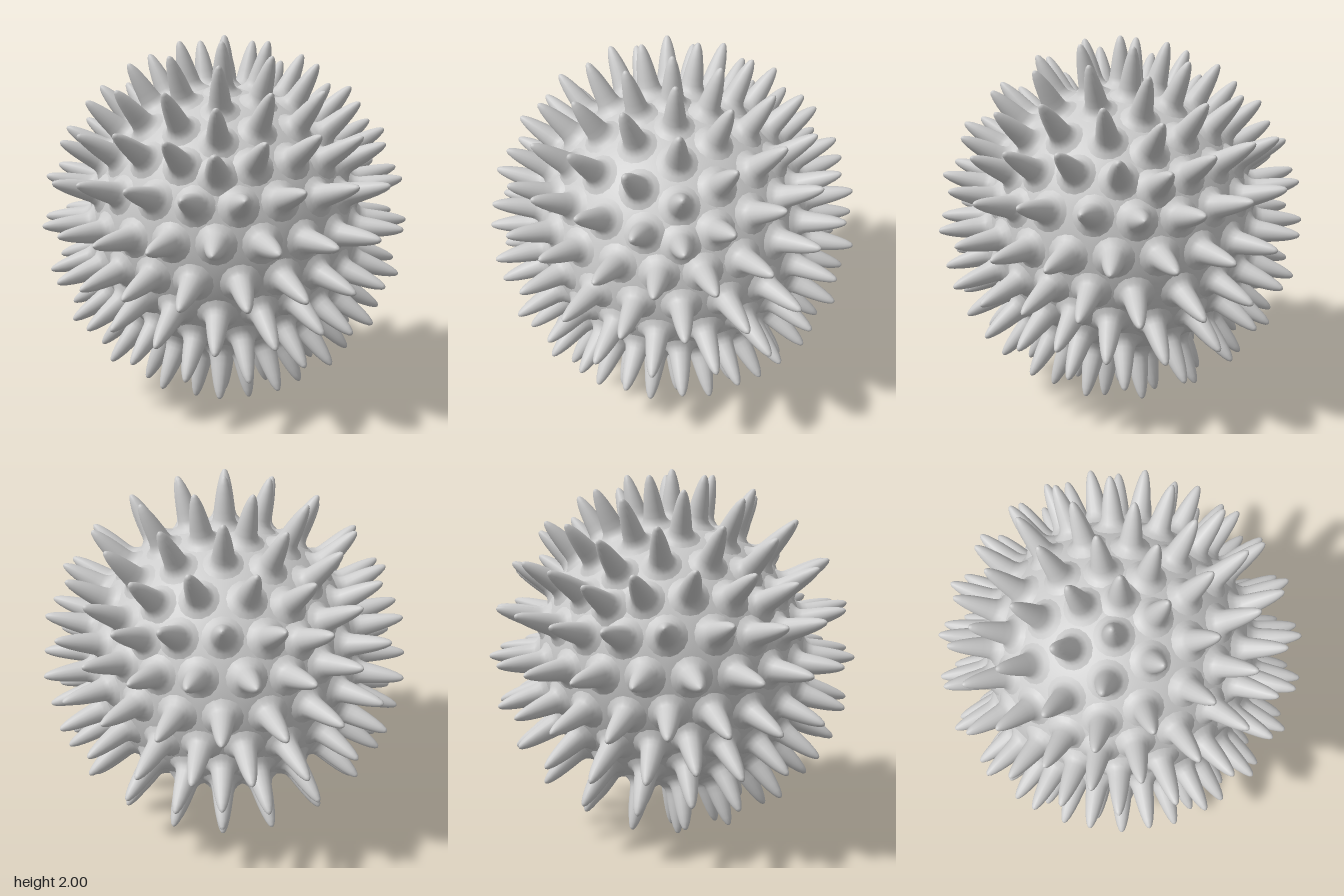
import * as THREE from 'three';

const BODY_RADIUS = 0.735;
const FREQUENCY = 4; // subdivisions of each icosahedron edge

// Twelve icosahedron corners with one pole straight up and a ring corner towards +x
function icosahedronCorners() {
  const up = new THREE.Vector3(0, 1, 0);
  const corners = [up, up.clone().negate()];
  const polar = Math.atan(2);
  for (let k = 0; k < 5; k++) {
    const a = (k * 2 * Math.PI) / 5;
    const p = new THREE.Vector3(Math.sin(polar) * Math.cos(a), Math.cos(polar), Math.sin(polar) * Math.sin(a));
    corners.push(p, p.clone().negate());
  }
  return corners;
}

// Unique geodesic directions: every face split evenly, then pushed out to the sphere
function spikeDirections() {
  const c = icosahedronCorners();
  const near = (a, b) => a.dot(b) > 0.4;
  const found = new Map();
  for (let a = 0; a < 12; a++)
    for (let b = a + 1; b < 12; b++)
      for (let d = b + 1; d < 12; d++) {
        if (!near(c[a], c[b]) || !near(c[b], c[d]) || !near(c[a], c[d])) continue;
        for (let i = 0; i <= FREQUENCY; i++)
          for (let j = 0; j <= FREQUENCY - i; j++) {
            const p = new THREE.Vector3()
              .addScaledVector(c[a], i)
              .addScaledVector(c[b], j)
              .addScaledVector(c[d], FREQUENCY - i - j)
              .normalize();
            const key = p.toArray().map((v) => Math.round(v * 1000) + 0).join(',');
            found.set(key, p);
          }
      }
  return [...found.values()];
}

export function createModel() {
  const model = new THREE.Group();
  model.name = 'spikyBall';
  const material = new THREE.MeshStandardMaterial({ color: 0xcccccc });

  // Round body
  const body = new THREE.Mesh(new THREE.SphereGeometry(BODY_RADIUS, 72, 48), material);
  body.name = 'body';
  body.position.y = 1;
  model.add(body);

  // Spike: flared foot, tapering shaft, rounded tip (radius, distance from the ball's centre)
  const profile = [
    [0.108, 0.725], [0.082, 0.741], [0.066, 0.758], [0.058, 0.782], [0.053, 0.82],
    [0.046, 0.87], [0.037, 0.92], [0.027, 0.96], [0.016, 0.988], [0.007, 0.998], [0, 1],
  ].map(([r, h]) => new THREE.Vector2(r, h));
  const spikeGeometry = new THREE.LatheGeometry(profile, 16);

  const spikes = new THREE.Group();
  spikes.name = 'spikes';
  spikes.position.y = 1;
  const up = new THREE.Vector3(0, 1, 0);
  for (const direction of spikeDirections()) {
    const spike = new THREE.Mesh(spikeGeometry, material);
    spike.name = 'spike';
    spike.quaternion.setFromUnitVectors(up, direction);
    spikes.add(spike);
  }
  model.add(spikes);
  return model;
}
